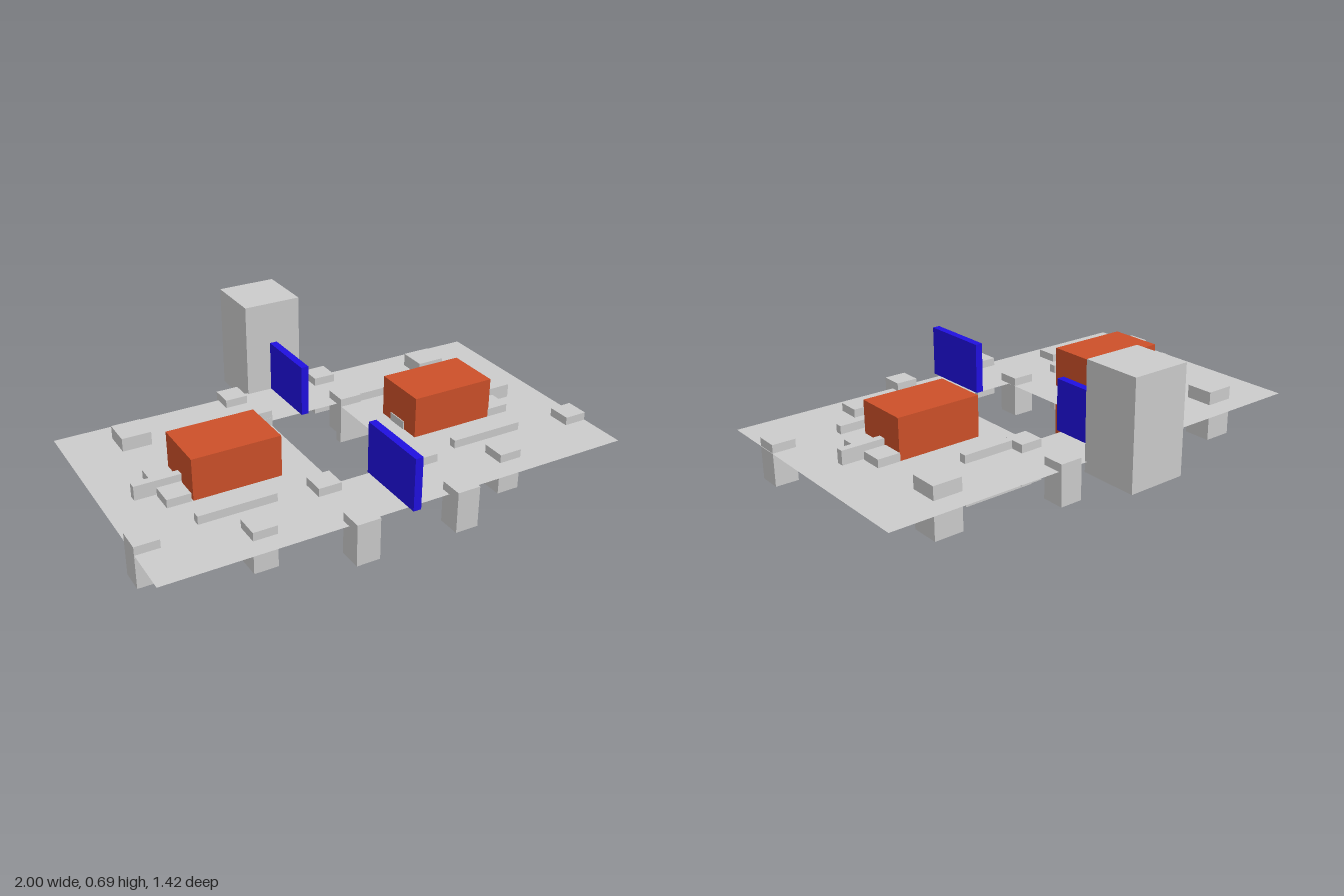
import * as THREE from 'three';

const grey = new THREE.MeshStandardMaterial({ color: 0xcccccc });
const orange = new THREE.MeshStandardMaterial({ color: 0xcc5029 });
const blue = new THREE.MeshStandardMaterial({ color: 0x2010e0 });
const sheet = new THREE.MeshStandardMaterial({ color: 0xcccccc, side: THREE.DoubleSide });

export function createModel() {
  const model = new THREE.Group();

  // box given by its minimum and maximum on each axis
  function box(name, [x0, x1], [y0, y1], [z0, z1], material = grey) {
    const mesh = new THREE.Mesh(new THREE.BoxGeometry(x1 - x0, y1 - y0, z1 - z0), material);
    mesh.position.set((x0 + x1) / 2, (y0 + y1) / 2, (z0 + z1) / 2);
    mesh.name = name;
    model.add(mesh);
  }

  // thin deck with a rectangular opening in the middle
  const rect = (x0, x1, z0, z1) => [[x0, z0], [x1, z0], [x1, z1], [x0, z1]]
    .map(([x, z]) => new THREE.Vector2(x, -z));
  const outline = new THREE.Shape(rect(-1, 0.997, -0.468, 0.652));
  outline.holes.push(new THREE.Path(rect(-0.17, 0.166, -0.188, 0.373)));
  const deck = new THREE.Mesh(new THREE.ShapeGeometry(outline).rotateX(-Math.PI / 2), sheet);
  deck.position.y = 0.28;
  deck.name = 'deck';
  model.add(deck);

  // tall cabinet at the back
  box('cabinet', [-0.13, 0.124], [0.235, 0.685], [-0.71, -0.457]);

  // blue divider panels in front of and behind the opening
  box('frontDivider', [-0.019, 0.014], [0.282, 0.502], [0.367, 0.687], blue);
  box('backDivider', [-0.019, 0.014], [0.282, 0.502], [-0.455, -0.168], blue);

  // orange tables
  box('rightTable', [-0.685, -0.317], [0, 0.455], [-0.017, 0.225], orange);
  box('leftTable', [0.291, 0.66], [0, 0.455], [-0.017, 0.225], orange);

  // small square blocks: [x, z] of the centre
  const blocks = [
    [-0.952, 0.398], [0.946, 0.398],
    [-0.56, 0.52], [0.518, 0.513],
    [-0.741, 0.03], [-0.741, 0.176], [0.707, 0.03], [0.707, 0.176],
    [-0.362, 0.096], [0.336, 0.096],
  ];
  for (const z of [-0.434, -0.203, 0.381, 0.659]) blocks.push([-0.22, z], [0.213, z]);
  for (const [x, z] of blocks) {
    box('smallBlock', [x - 0.049, x + 0.049], [0.14, 0.315], [z - 0.049, z + 0.049]);
  }

  // larger blocks near the back corners
  for (const x of [-0.724, 0.69]) {
    box('largeBlock', [x - 0.062, x + 0.062], [0.12, 0.337], [-0.371, -0.247]);
  }

  // long thin rails
  const rails = [
    [-0.485, 0.13, 0.347, -0.171], [0.166, 0.1, 0.315, -0.177],
    [-0.735, 0.1, 0.315, 0.364], [0.38, 0.1, 0.315, 0.363],
    [-0.876, 0.12, 0.34, 0.102], [0.526, 0.12, 0.34, 0.102],
  ];
  for (const [x, y0, y1, z] of rails) {
    box('rail', [x, x + 0.32], [y0, y1], [z - 0.016, z + 0.016]);
  }
  return model;
}
